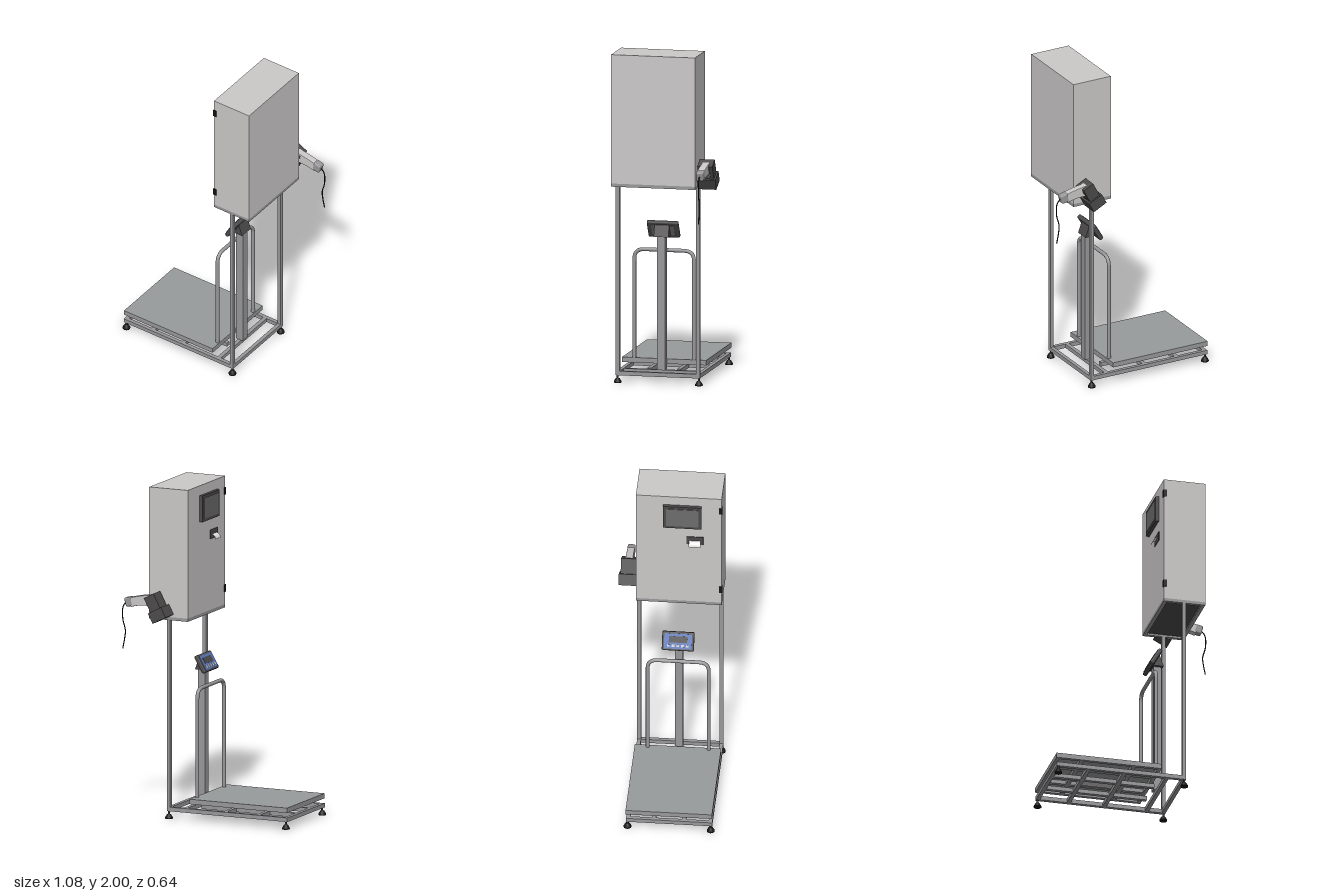
import * as THREE from 'three';
import { RoundedBoxGeometry } from 'three/addons/geometries/RoundedBoxGeometry.js';

const paint = (name, color, side = THREE.FrontSide) => {
  const m = new THREE.MeshStandardMaterial({ color, side });
  m.name = name;
  return m;
};

export function createModel() {
  const root = new THREE.Group();
  root.name = 'weighingStation';

  const cabinetGrey = paint('cabinetGrey', 0xcbc8c8);
  const steel = paint('steel', 0x98989b);
  const deckGrey = paint('deckGrey', 0x989b9b);
  const charcoal = paint('charcoal', 0x4c4a4a);
  const black = paint('black', 0x161616);
  const blue = paint('panelBlue', 0x5b76b5);
  const white = paint('paperWhite', 0xededed, THREE.DoubleSide);
  const glass = paint('displayGrey', 0x6c6c6c);

  const add = (name, geo, mat, parent = root) => {
    const m = new THREE.Mesh(geo, mat);
    m.name = name;
    parent.add(m);
    return m;
  };
  // Box given by its extents on each axis
  const box = (name, mat, [x0, x1], [y0, y1], [z0, z1], parent = root) => {
    const m = add(name, new THREE.BoxGeometry(x1 - x0, y1 - y0, z1 - z0), mat, parent);
    m.position.set((x0 + x1) / 2, (y0 + y1) / 2, (z0 + z1) / 2);
    return m;
  };
  const group = (name, x, y, z, rz = 0) => {
    const g = new THREE.Group();
    g.name = name;
    g.position.set(x, y, z);
    g.rotation.z = rz;
    root.add(g);
    return g;
  };
  // Rectangular ring of square tubes
  const ring = (name, mat, [x0, x1], y, [z0, z1], t) => {
    box(name, mat, [x0, x1], y, [z0, z0 + t]);
    box(name, mat, [x0, x1], y, [z1 - t, z1]);
    box(name, mat, [x0, x0 + t], y, [z0 + t, z1 - t]);
    box(name, mat, [x1 - t, x1], y, [z0 + t, z1 - t]);
  };

  // Base frame with cross members
  const yBase = [0.045, 0.07];
  ring('baseRail', steel, [-0.53, 0.265], yBase, [-0.205, 0.31], 0.023);
  for (const x of [-0.33, -0.11, 0.15]) box('baseCrossRail', steel, [x - 0.012, x + 0.012], yBase, [-0.182, 0.287]);
  for (const z of [-0.04, 0.14]) box('baseInnerRail', steel, [-0.507, 0.11], yBase, [z - 0.012, z + 0.012]);

  // Levelling feet
  const footProfile = [[0, 0], [0.023, 0], [0.023, 0.007], [0.012, 0.026], [0.006, 0.028], [0.006, 0.046]]
    .map(([r, y]) => new THREE.Vector2(r, y));
  for (const x of [-0.518, 0.255]) for (const z of [-0.197, 0.3]) {
    add('foot', new THREE.LatheGeometry(footProfile, 20), black).position.set(x, 0, z);
  }

  // Weighing platform: top sheet, skirt and ribs below
  box('platformDeck', deckGrey, [-0.53, 0.115], [0.123, 0.13], [-0.208, 0.308]);
  ring('platformSkirt', steel, [-0.53, 0.115], [0.1, 0.123], [-0.208, 0.308], 0.022);
  for (const x of [-0.37, -0.05]) box('platformRib', steel, [x - 0.012, x + 0.012], [0.1, 0.123], [-0.186, 0.286]);
  for (const z of [-0.06, 0.16]) box('platformRib', steel, [-0.508, 0.093], [0.1, 0.123], [z - 0.012, z + 0.012]);
  box('loadCell', cabinetGrey, [-0.31, -0.11], [0.07, 0.1], [0.02, 0.08]);
  const dot = add('loadCellMark', new THREE.CylinderGeometry(0.013, 0.013, 0.004, 20), white);
  dot.rotation.x = Math.PI / 2;
  dot.position.set(-0.21, 0.085, 0.081);

  // Bent guard rail
  const rail = new THREE.CurvePath();
  const v = (y, z) => new THREE.Vector3(0.1, y, z);
  const zA = -0.13, zB = 0.235, top = 0.784, r = 0.06;
  rail.add(new THREE.LineCurve3(v(0.128, zA), v(top - r, zA)));
  rail.add(new THREE.QuadraticBezierCurve3(v(top - r, zA), v(top, zA), v(top, zA + r)));
  rail.add(new THREE.LineCurve3(v(top, zA + r), v(top, zB - r)));
  rail.add(new THREE.QuadraticBezierCurve3(v(top, zB - r), v(top, zB), v(top - r, zB)));
  rail.add(new THREE.LineCurve3(v(top - r, zB), v(0.128, zB)));
  add('guardRail', new THREE.TubeGeometry(rail, 120, 0.0115, 14), steel);

  // Indicator column, bracket and tilted head
  box('indicatorColumn', steel, [0.125, 0.173], [0.07, 0.88], [0.03, 0.078]);
  const tri = new THREE.Shape([[0.118, 0.875], [0.182, 0.875], [0.152, 0.96]].map(p => new THREE.Vector2(...p)));
  add('headBracket', new THREE.ExtrudeGeometry(tri, { depth: 0.09, bevelEnabled: false }), charcoal).position.z = 0.008;
  const head = group('indicatorHead', 0.126, 0.916, 0.05, -0.53);
  add('headHousing', new RoundedBoxGeometry(0.026, 0.115, 0.192, 3, 0.008), charcoal, head);
  box('headFace', blue, [-0.016, -0.012], [-0.046, 0.046], [-0.083, 0.083], head);
  box('headDisplay', charcoal, [-0.018, -0.015], [-0.008, 0.03], [-0.055, 0.055], head);
  for (let i = 0; i < 5; i++) {
    const z = -0.056 + i * 0.028;
    box('headKey', cabinetGrey, [-0.018, -0.015], [-0.034, -0.02], [z - 0.008, z + 0.008], head);
  }
  box('headBackPlate', glass, [0.012, 0.015], [-0.035, 0.035], [-0.07, 0.07], head);

  // Posts carrying the cabinet
  for (const z of [-0.193, 0.298]) box('post', steel, [0.243, 0.265], [0.07, 1.205], [z - 0.012, z + 0.012]);

  // Cabinet with tube rim and recessed floor
  box('cabinet', cabinetGrey, [0.128, 0.383], [1.222, 2], [-0.203, 0.31]);
  ring('cabinetRim', steel, [0.128, 0.383], [1.203, 1.222], [-0.203, 0.31], 0.022);
  box('cabinetFloor', charcoal, [0.15, 0.361], [1.215, 1.222], [-0.181, 0.288]);
  for (const y of [1.32, 1.91]) box('hinge', black, [0.124, 0.146], [y - 0.022, y + 0.022], [0.295, 0.314]);

  // Touch screen on the door
  box('screenHousing', charcoal, [0.108, 0.128], [1.78, 1.94], [-0.04, 0.19]);
  box('screenGlass', glass, [0.105, 0.109], [1.797, 1.923], [-0.022, 0.172]);

  // Label printer slot with curling paper
  box('printerSlot', charcoal, [0.124, 0.128], [1.652, 1.708], [0.1, 0.2]);
  const paper = add('paperStrip', new THREE.CylinderGeometry(0.03, 0.03, 0.07, 16, 1, true, Math.PI, Math.PI / 2), white);
  paper.rotation.x = Math.PI / 2;
  paper.position.set(0.128, 1.65, 0.15);

  // Scanner cradle and scanner head, leaning together
  const zs = -0.26;
  const scanner = group('scanner', 0.28, 1.25, zs, -0.48);
  box('cradle', charcoal, [-0.048, 0.048], [-0.036, 0.032], [-0.056, 0.056], scanner);
  box('scannerHead', charcoal, [-0.036, 0.036], [0.032, 0.125], [-0.046, 0.046], scanner);
  box('scannerBackPlate', glass, [0.035, 0.039], [0.045, 0.11], [-0.026, 0.026], scanner);

  // Curved scanner handle
  const outline = new THREE.Shape();
  outline.moveTo(0.325, 1.36);
  outline.quadraticCurveTo(0.4, 1.35, 0.465, 1.333);
  outline.lineTo(0.465, 1.283);
  outline.quadraticCurveTo(0.4, 1.305, 0.325, 1.295);
  const handleOptions = { depth: 0.036, bevelSize: 0.004, bevelThickness: 0.004, bevelSegments: 2, curveSegments: 8 };
  add('scannerHandle', new THREE.ExtrudeGeometry(outline, handleOptions), cabinetGrey).position.z = zs - 0.018;
  const grip = add('handleEnd', new RoundedBoxGeometry(0.05, 0.056, 0.046, 3, 0.01), steel);
  grip.position.set(0.483, 1.308, zs);
  grip.rotation.z = -0.25;

  // Hanging cable
  const cable = new THREE.CatmullRomCurve3([[0.5, 1.31], [0.527, 1.275], [0.53, 1.2], [0.513, 1.13], [0.518, 1.08], [0.53, 1.02]]
    .map(([x, y]) => new THREE.Vector3(x, y, zs)));
  add('cable', new THREE.TubeGeometry(cable, 40, 0.0035, 8), black);

  return root;
}
